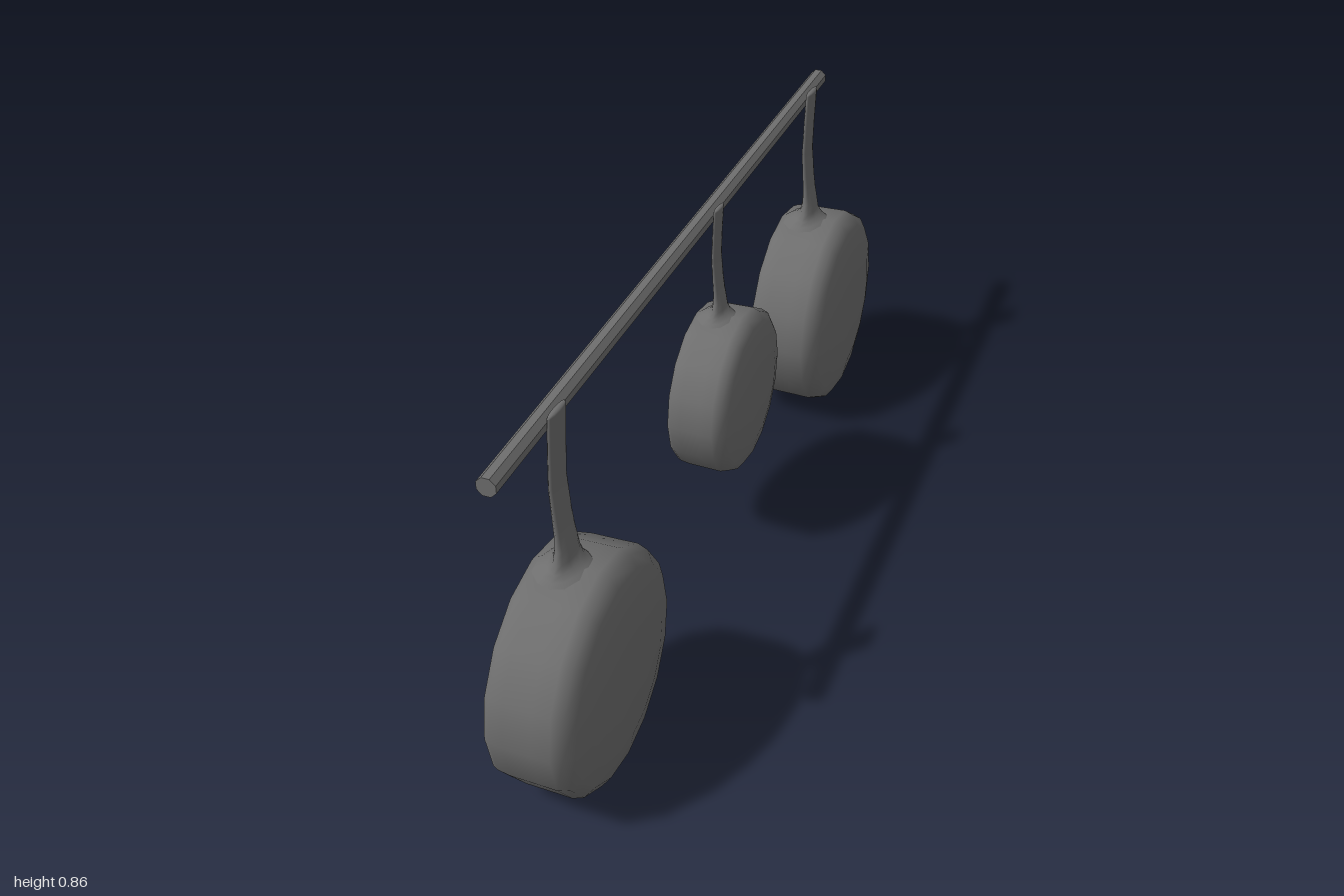
import * as THREE from 'three';

const iron = new THREE.MeshStandardMaterial({ color: 0x6e6e6e });
const railIron = new THREE.MeshStandardMaterial({ color: 0x6e6e6e, flatShading: true });

// Spun dish: rounded bowl from the centre to the rim, then outside to the base; opens towards -x
function dishGeometry() {
  const profile = [
    [0, 0.042], [0.07, 0.037], [0.13, 0.022], [0.172, 0], [0.198, -0.028], [0.211, -0.058], [0.217, -0.083],
    [0.225, -0.098], [0.236, -0.104], [0.246, -0.102], [0.252, -0.09], [0.256, -0.06], [0.257, 0], [0.258, 0.04],
    [0.25, 0.063], [0.226, 0.08], [0.165, 0.093], [0.09, 0.1], [0, 0.101],
  ].map(([r, h]) => new THREE.Vector2(r, h));
  return new THREE.LatheGeometry(profile, 16).rotateZ(-Math.PI / 2);
}

// Lens-shaped handle lofted through rings of [height, x, half thickness, half width, sag at the sides]
function handleGeometry() {
  const rings = [
    [0.248, -0.034, 0.062, 0.076, 0.016], [0.2585, -0.035, 0.046, 0.062, 0.011], [0.267, -0.033, 0.03, 0.053, 0.007],
    [0.28, -0.031, 0.02, 0.046, 0.003], [0.303, -0.031, 0.016, 0.04, 0], [0.335, -0.034, 0.012, 0.037, 0],
    [0.37, -0.038, 0.0105, 0.036, 0], [0.44, -0.0445, 0.0088, 0.036, 0], [0.52, -0.0435, 0.008, 0.037, 0],
    [0.594, -0.0415, 0.0075, 0.038, 0], [0.598, -0.0415, 0.006, 0.035, 0], [0.598, -0.0415, 0, 0, 0],
  ];
  const sides = 12;
  const positions = [];
  const index = [];
  for (const [y, x, thick, wide, sag] of rings) {
    for (let i = 0; i < sides; i++) {
      const a = (i / sides) * Math.PI * 2;
      positions.push(x + Math.cos(a) * thick, y - sag * Math.sin(a) ** 2, Math.sin(a) * wide);
    }
  }
  for (let r = 0; r < rings.length - 1; r++) {
    for (let i = 0; i < sides; i++) {
      const a = r * sides + i;
      const b = r * sides + ((i + 1) % sides);
      index.push(a, a + sides, b, b, a + sides, b + sides);
    }
  }
  const geometry = new THREE.BufferGeometry();
  geometry.setAttribute('position', new THREE.Float32BufferAttribute(positions, 3));
  geometry.setIndex(index);
  geometry.computeVertexNormals();
  return geometry;
}

function mesh(name, geometry, material, tilt = 0) {
  const part = new THREE.Mesh(geometry, material);
  part.name = name;
  part.rotation.x = tilt;
  return part;
}

export function createModel() {
  const model = new THREE.Group();
  model.name = 'hangingPans';

  // Eight-sided hanging rail along z, flat side up
  const railGeometry = new THREE.CylinderGeometry(0.0214, 0.0214, 1.875, 8, 1, false, Math.PI / 8);
  const rail = mesh('rail', railGeometry.rotateX(Math.PI / 2), railIron);
  rail.position.set(-0.082, 0.811, -0.013);
  model.add(rail);

  // Three pans with slightly leaning handles, the middle one smaller
  const dishShape = dishGeometry();
  const handleShape = handleGeometry();
  const pans = [
    ['frontPan', 0, 0.258, 0.744, 1],
    ['middlePan', -0.012, 0.391, -0.095, 0.768],
    ['backPan', 0, 0.258, -0.742, 1],
  ];
  for (const [name, x, y, z, scale] of pans) {
    const pan = new THREE.Group();
    pan.name = name;
    const handle = mesh('handle', handleShape, iron, -0.06);
    handle.position.z = 0.013;
    pan.add(mesh('dish', dishShape, iron, 0.025), handle);
    pan.position.set(x, y, z);
    pan.scale.setScalar(scale);
    model.add(pan);
  }
  return model;
}
